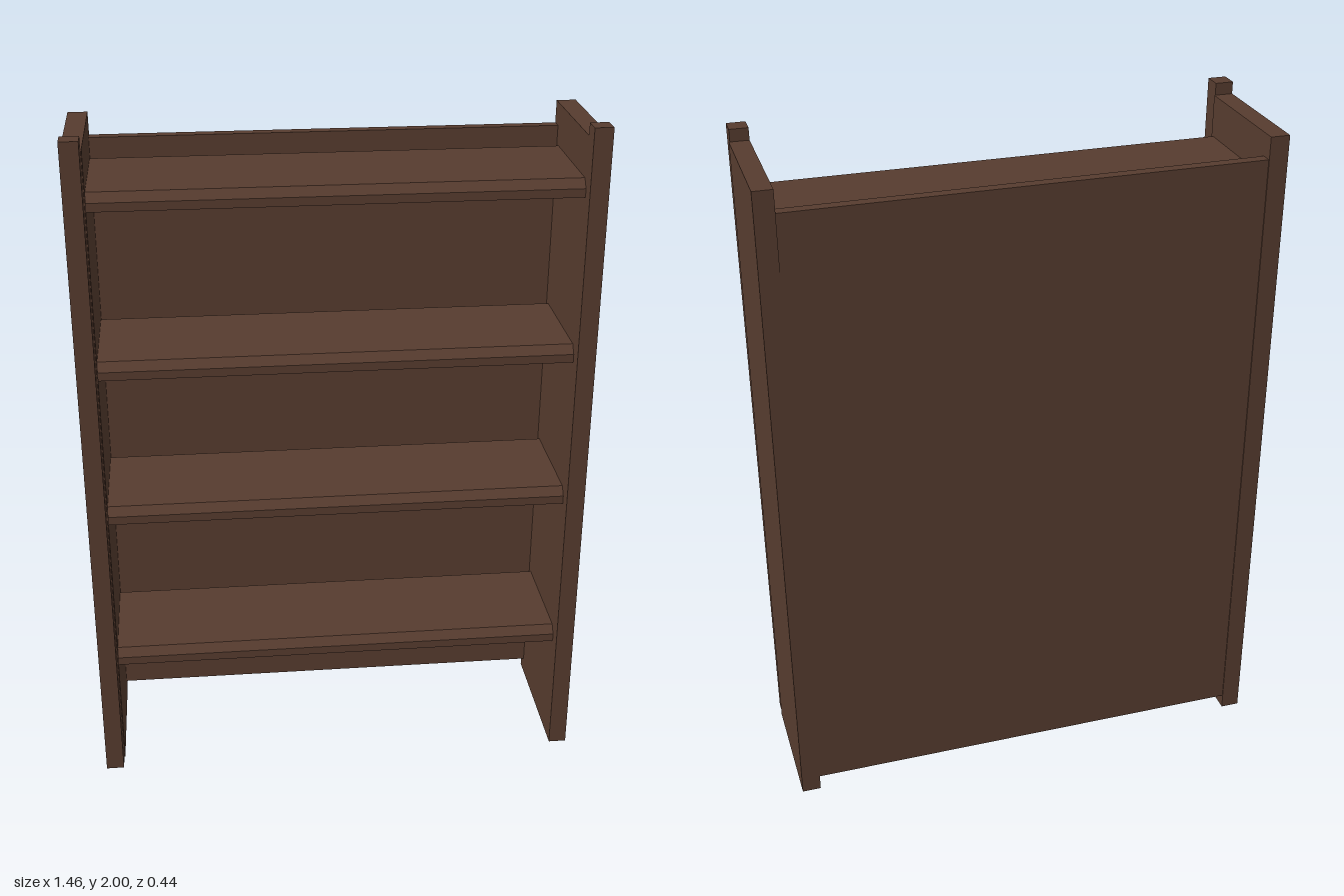
import * as THREE from 'three';

export function createModel() {
  const model = new THREE.Group();
  const wood = new THREE.MeshStandardMaterial({ color: 0x573c2f });
  wood.name = 'darkWood';

  function box(name, x0, x1, y0, y1, z0, z1) {
    const mesh = new THREE.Mesh(new THREE.BoxGeometry(x1 - x0, y1 - y0, z1 - z0), wood);
    mesh.position.set((x0 + x1) / 2, (y0 + y1) / 2, (z0 + z1) / 2);
    mesh.name = name;
    model.add(mesh);
  }

  // Side panels, each with a taller post along its front edge
  const inner = 0.676, outer = 0.732;
  box('leftSidePanel', inner, outer, 0, 1.965, -0.22, 0.165);
  box('rightSidePanel', -outer, -inner, 0, 1.965, -0.22, 0.165);
  box('leftFrontPost', inner, outer - 0.003, 0, 2, 0.165, 0.22);
  box('rightFrontPost', -outer, -inner - 0.003, 0, 2, 0.165, 0.22);

  // Back panel, raised off the floor
  box('backPanel', -inner, inner, 0.045, 1.9, -0.217, -0.185);

  // Shelves: profile in (z, y) with a bevelled front edge, extruded along x
  const profile = new THREE.Shape([
    [-0.165, -0.05], [0.175, -0.05], [0.175, -0.025], [0.155, 0], [-0.165, 0],
  ].map(([z, y]) => new THREE.Vector2(-z, y)));
  const shelfGeometry = new THREE.ExtrudeGeometry(profile, { depth: inner * 2, bevelEnabled: false });
  shelfGeometry.translate(0, 0, -inner);
  shelfGeometry.rotateY(Math.PI / 2); // shape x becomes -z, depth becomes x

  [0.405, 0.895, 1.355, 1.845].forEach((top, i) => {
    const shelf = new THREE.Mesh(shelfGeometry, wood);
    shelf.position.y = top;
    shelf.name = `shelf${i + 1}`;
    model.add(shelf);
  });

  return model;
}
